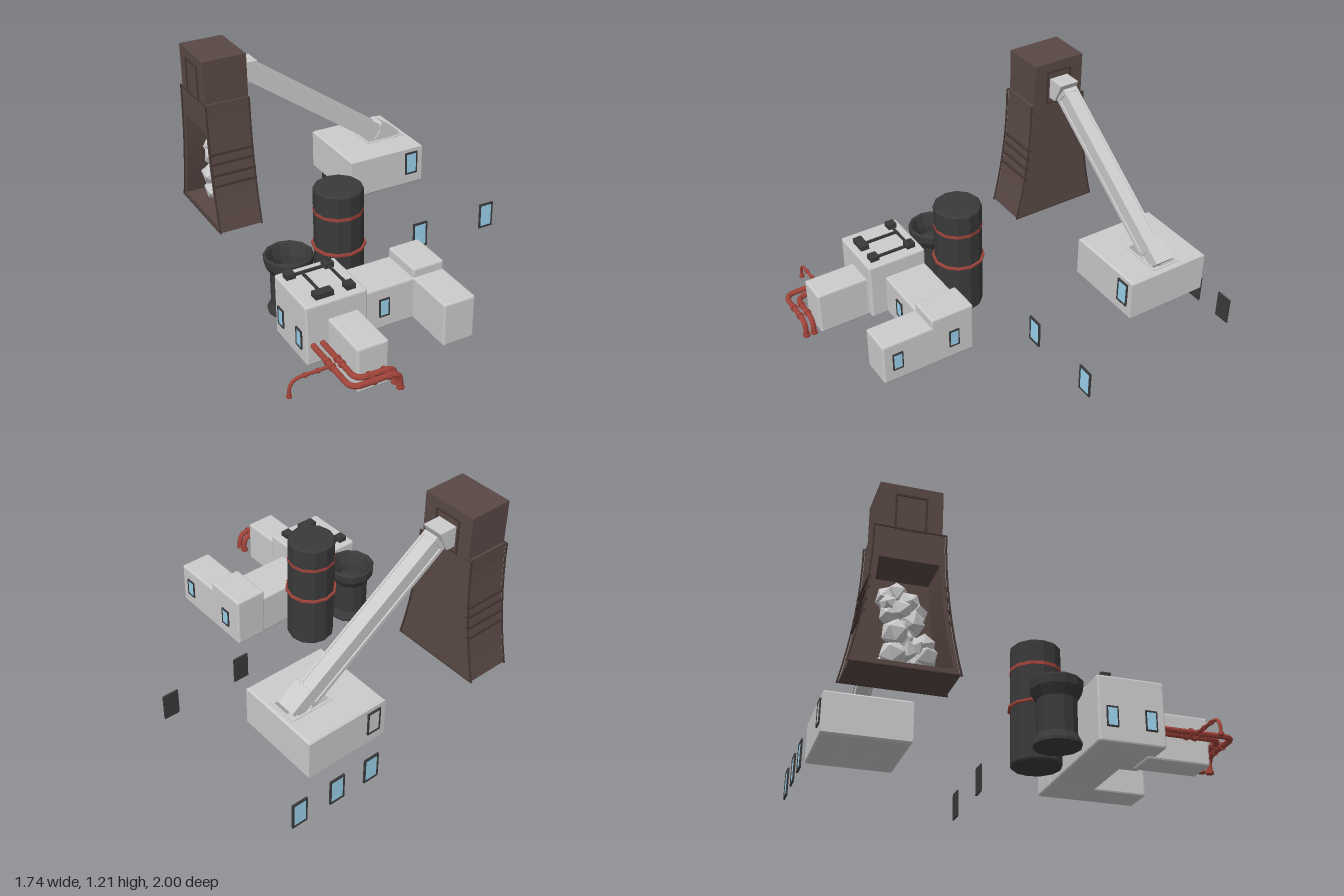
import * as THREE from 'three';
import { RoundedBoxGeometry } from 'three/addons/geometries/RoundedBoxGeometry.js';

const mat = (color) => new THREE.MeshStandardMaterial({ color, flatShading: true });
const GREY = mat(0xcccccc), BLACK = mat(0x3a3a3a), BROWN = mat(0x5a4945), DARK = mat(0x453733);
const RED = mat(0xa0443a), GLASS = mat(0x9bd3ee), STONE = mat(0xd8d8d4);

export function createModel() {
  const root = new THREE.Group();
  const add = (name, geo, m, x = 0, y = 0, z = 0, parent = root) => {
    const mesh = new THREE.Mesh(geo, m);
    mesh.name = name;
    mesh.position.set(x, y, z);
    parent.add(mesh);
    return mesh;
  };
  // Box given by its limits on each axis; r rounds the edges
  const block = (name, m, x0, x1, y0, y1, z0, z1, r = 0) => {
    const s = [x1 - x0, y1 - y0, z1 - z0];
    return add(name, r ? new RoundedBoxGeometry(...s, 1, r) : new THREE.BoxGeometry(...s),
      m, (x0 + x1) / 2, (y0 + y1) / 2, (z0 + z1) / 2);
  };
  const rect = (w, h, C = THREE.Shape) => new C([[-1, -1], [1, -1], [1, 1], [-1, 1]]
    .map(([a, b]) => new THREE.Vector2(a * w / 2, b * h / 2)));
  const extrude = (shape, depth, bevel = 0) => new THREE.ExtrudeGeometry(shape, {
    depth, bevelEnabled: bevel > 0, bevelSize: bevel, bevelThickness: bevel, bevelOffset: -bevel, bevelSegments: 1,
  });

  // Framed window with its pane facing +z before turning
  const windowAt = (name, w, h, x, y, z, turn = 0, pane = GLASS) => {
    const g = new THREE.Group();
    g.name = name;
    g.position.set(x, y, z);
    g.rotation.y = turn;
    const frame = rect(w, h);
    frame.holes.push(rect(w * 0.8, h * 0.86, THREE.Path));
    add('windowFrame', extrude(frame, 0.008), BLACK, 0, 0, 0, g);
    add('windowBack', new THREE.BoxGeometry(w, h, 0.003), BLACK, 0, 0, 0, g);
    add('windowPane', new THREE.BoxGeometry(w * 0.82, h * 0.88, 0.004), pane, 0, 0, 0.003, g);
    root.add(g);
  };

  // Low buildings
  block('mainBlock', GREY, -0.665, -0.325, 0.012, 0.353, 0.25, 0.595, 0.01);
  block('frontAnnex', GREY, -0.545, -0.375, 0, 0.253, 0.55, 0.885, 0.01);
  block('corridor', GREY, -0.35, 0.02, 0.014, 0.257, 0.252, 0.5, 0.01);
  block('cornerBlock', GREY, 0, 0.183, 0.012, 0.31, 0.25, 0.5, 0.01);
  block('sideWing', GREY, 0, 0.183, 0.012, 0.26, 0.45, 0.79, 0.01);
  windowAt('corridorWindow', 0.06, 0.105, -0.173, 0.14, 0.5);
  for (const z of [0.37, 0.707]) windowAt('wingWindow', 0.06, 0.105, 0.183, 0.14, z, Math.PI / 2);
  for (const z of [0.32, 0.52]) windowAt('blockWindow', 0.06, 0.105, -0.665, 0.14, z, -Math.PI / 2);

  // Roof equipment
  for (const [x, z, w] of [[-0.61, 0.31, 0.05], [-0.395, 0.31, 0.05], [-0.54, 0.533, 0.1], [-0.395, 0.533, 0.05]])
    block('roofUnit', BLACK, x - w / 2, x + w / 2, 0.345, 0.382, z - 0.025, z + 0.025);
  block('roofDuct', BLACK, -0.59, -0.41, 0.35, 0.368, 0.306, 0.316);
  for (const x of [-0.54, -0.395]) block('roofDuct', BLACK, x - 0.005, x + 0.005, 0.35, 0.368, 0.31, 0.52);
  block('roofVent', BLACK, -0.4, -0.385, 0.37, 0.4, 0.303, 0.318);

  // Storage tank with two bands
  const TX = -0.215, TZ = 0.1;
  add('tank', new THREE.LatheGeometry([[0, 0.015], [0.125, 0.015], [0.132, 0.025], [0.132, 0.655], [0.122, 0.665], [0, 0.665]]
    .map((p) => new THREE.Vector2(...p)), 12), BLACK, TX, 0, TZ);
  add('tankBand', new THREE.CylinderGeometry(0.134, 0.134, 0.018, 12), RED, TX, 0.533, TZ);
  add('tankRing', new THREE.CylinderGeometry(0.145, 0.145, 0.012, 12), RED, TX, 0.327, TZ);

  // Open flared vat
  const vat = BLACK.clone();
  vat.side = THREE.DoubleSide;
  add('vat', new THREE.LatheGeometry([[0, 0.015], [0.12, 0.015], [0.12, 0.03], [0.1, 0.07], [0.1, 0.25], [0.13, 0.3],
    [0.133, 0.345], [0.122, 0.355], [0.112, 0.345], [0.085, 0.28], [0.08, 0.24], [0, 0.24]]
    .map((p) => new THREE.Vector2(...p)), 12), vat, -0.51, 0, 0.1);

  // Pipe with rounded corners through the given points
  const pipe = (pts, r, bend) => {
    const v = pts.map((p) => new THREE.Vector3(...p));
    const path = new THREE.CurvePath();
    let from = v[0];
    for (let i = 1; i < v.length - 1; i++) {
      const a = v[i].clone().add(v[i - 1].clone().sub(v[i]).setLength(bend));
      const b = v[i].clone().add(v[i + 1].clone().sub(v[i]).setLength(bend));
      path.add(new THREE.LineCurve3(from, a));
      path.add(new THREE.QuadraticBezierCurve3(a, v[i], b));
      from = b;
    }
    path.add(new THREE.LineCurve3(from, v[v.length - 1]));
    add('pipe', new THREE.TubeGeometry(path, 60, r, 8), RED);
  };
  const flange = (x, y, z, r, axis) => {
    const f = add('pipeFlange', new THREE.CylinderGeometry(r, r, 0.014, 8), RED, x, y, z);
    if (axis === 'x') f.rotation.z = Math.PI / 2;
    if (axis === 'z') f.rotation.x = Math.PI / 2;
  };
  for (const [x, z] of [[-0.63, 0.977], [-0.578, 0.932]]) {
    pipe([[x, 0.127, 0.58], [x, 0.127, z], [-0.367, 0.127, z], [-0.367, 0.03, z]], 0.015, 0.06);
    for (const fz of [0.745, 0.79]) flange(x, 0.127, fz, 0.021, 'z');
    for (const fx of [-0.51, -0.43]) flange(fx, 0.127, z, 0.021, 'x');
    flange(-0.367, 0.037, z, 0.021, 'y');
  }
  pipe([[-0.63, 0.127, 0.78], [-0.855, 0.127, 0.78], [-0.855, 0.03, 0.78]], 0.009, 0.07);
  for (const x of [-0.77, -0.7]) flange(x, 0.127, 0.78, 0.013, 'x');
  flange(-0.855, 0.037, 0.78, 0.015, 'y');

  // Tower with flared lower body, open on the -x side
  const ZC = -0.685, Y0 = 0.24, Y1 = 0.97;
  const halfWidth = (y) => 0.168 + 0.09 * ((Y1 - y) / (Y1 - Y0)) ** 2;
  const flared = (pad, y0, y1, C = THREE.Shape) => {
    const right = [];
    for (let i = 0; i <= 8; i++) {
      const y = y0 + (y1 - y0) * i / 8;
      right.push(new THREE.Vector2(halfWidth(y) + pad, y));
    }
    return new C([...right, ...right.map((p) => new THREE.Vector2(-p.x, p.y)).reverse()]);
  };
  const across = (name, shape, depth, m, x) =>
    add(name, extrude(shape, depth).rotateY(Math.PI / 2), m, x, 0, ZC);
  const shell = flared(0, Y0, Y1);
  shell.holes.push(flared(-0.025, 0.27, 0.8, THREE.Path));
  across('towerShell', shell, 0.22, BROWN, -0.665);
  across('towerWall', flared(0, Y0, Y1), 0.03, BROWN, -0.446);
  for (const x of [-0.67, -0.422]) {
    const rim = flared(0.011, Y0, Y1);
    rim.holes.push(flared(0.003, Y0 + 0.006, Y1 - 0.006, THREE.Path));
    across('towerEdge', rim, 0.007, DARK, x);
  }
  block('towerHead', BROWN, -0.664, -0.415, 0.96, 1.212, ZC - 0.157, ZC + 0.157);
  for (const side of [-1, 1]) for (const y of [0.505, 0.565, 0.63, 0.685])
    add('towerLouver', new THREE.BoxGeometry(0.252, 0.012, 0.02), DARK, -0.54, y, ZC + side * (halfWidth(y) + 0.002));
  const hatch = rect(0.16, 0.2);
  hatch.holes.push(rect(0.14, 0.18, THREE.Path));
  for (const x of [-0.669, -0.417])
    add('headFrame', extrude(hatch, 0.007).rotateY(Math.PI / 2), DARK, x, 1.06, ZC);

  // Heap of stones inside the tower
  let seed = 7;
  const rnd = () => (seed = (seed * 16807) % 2147483647) / 2147483647;
  for (let i = 0; i < 22; i++) {
    const t = i / 21, r = 0.05 + 0.025 * rnd();
    const stone = add('stone', new THREE.IcosahedronGeometry(r, 0), STONE,
      -0.57 + 0.06 * rnd(), 0.32 + 0.36 * t, ZC + (rnd() - 0.5) * 0.3 * (1 - 0.6 * t));
    stone.rotation.set(rnd() * 6, rnd() * 6, rnd() * 6);
  }

  // Hopper house with an open roof hatch
  const plan = rect(0.475, 0.484);
  const cx = 0.403, cz = -0.68;
  plan.holes.push(new THREE.Path([[0.375, -0.61], [0.605, -0.61], [0.605, -0.755], [0.375, -0.755]]
    .map(([x, z]) => new THREE.Vector2(x - cx, cz - z))));
  add('hopperHouse', extrude(plan, 0.22, 0.01).rotateX(-Math.PI / 2), GREY, cx, 0.23, cz);
  block('hopperFloor', GREY, 0.36, 0.62, 0.222, 0.34, -0.77, -0.6);
  const lip = rect(0.25, 0.165);
  lip.holes.push(rect(0.225, 0.14, THREE.Path));
  add('hatchLip', extrude(lip, 0.012).rotateX(-Math.PI / 2), GREY, 0.49, 0.452, -0.6825);
  windowAt('hopperWindow', 0.08, 0.14, 0.565, 0.358, -0.438, 0);
  windowAt('hopperBackPanel', 0.08, 0.14, 0.24, 0.358, -0.922, Math.PI, GREY);

  // Conveyor: recessed core between four rails
  const conveyor = new THREE.Group();
  conveyor.name = 'conveyor';
  conveyor.position.set(-0.337, 1.05, ZC);
  conveyor.rotation.z = -Math.atan2(0.578, 0.816);
  root.add(conveyor);
  add('conveyorCore', new THREE.BoxGeometry(1.08, 0.1, 0.07), GREY, 0.54, 0, 0, conveyor);
  for (const sy of [-1, 1]) for (const sz of [-1, 1])
    add('conveyorRail', new THREE.BoxGeometry(1.08, 0.022, 0.012), GREY, 0.54, sy * 0.043, sz * 0.037, conveyor);
  for (const x of [0.012, 0.99])
    add('conveyorEnd', new THREE.BoxGeometry(0.024, 0.108, 0.086), GREY, x, 0, 0, conveyor);
  add('conveyorLid', new THREE.BoxGeometry(0.14, 0.03, 0.11), GREY, 1.02, 0.058, 0, conveyor);
  const joint = new THREE.Shape([[-0.42, 0.998], [-0.365, 0.998], [-0.308, 1.115], [-0.42, 1.115]]
    .map((p) => new THREE.Vector2(...p)));
  add('conveyorJoint', extrude(joint, 0.116), GREY, 0, 0, ZC - 0.058);

  // Free-standing window panels
  for (const x of [0.31, 0.527, 0.757]) windowAt('backPanel', 0.09, 0.155, x, 0.138, -0.992, Math.PI);
  for (const x of [0.37, 0.82]) windowAt('middlePanel', 0.09, 0.155, x, 0.138, -0.022);
  return root;
}
